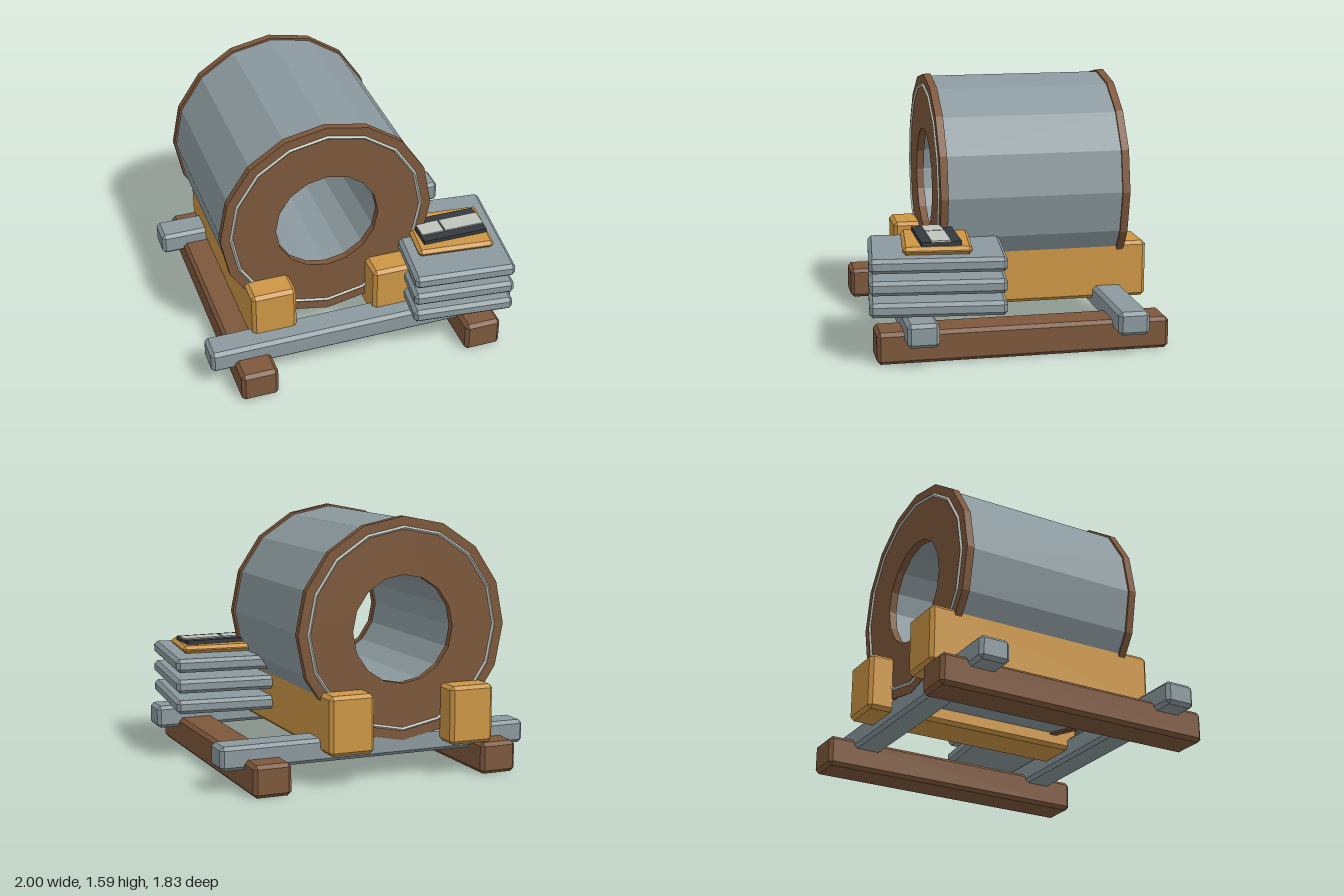
import * as THREE from 'three';
import { ConvexGeometry } from 'three/addons/geometries/ConvexGeometry.js';

const material = (name, color) => {
  const m = new THREE.MeshStandardMaterial({ color });
  m.name = name;
  return m;
};

// Box with every edge chamfered by c
function chamferBox(w, h, d, c) {
  const points = [];
  for (const x of [-1, 1]) for (const y of [-1, 1]) for (const z of [-1, 1]) {
    const a = w / 2, b = h / 2, e = d / 2;
    points.push(
      new THREE.Vector3(x * a, y * (b - c), z * (e - c)),
      new THREE.Vector3(x * (a - c), y * b, z * (e - c)),
      new THREE.Vector3(x * (a - c), y * (b - c), z * e));
  }
  return new ConvexGeometry(points);
}

// Sixteen-sided tube along z
function facetedTube(outer, inner, depth) {
  const ring = r => Array.from({ length: 16 }, (_, i) => {
    const a = i * Math.PI / 8;
    return new THREE.Vector2(r * Math.cos(a), r * Math.sin(a));
  });
  const shape = new THREE.Shape(ring(outer));
  shape.holes.push(new THREE.Path(ring(inner)));
  return new THREE.ExtrudeGeometry(shape, { depth, bevelEnabled: false });
}

export function createModel() {
  const brown = material('brown', 0x7c573b);
  const steel = material('steel grey', 0x8b999e);
  const ochre = material('ochre wood', 0xcc9645);
  const pale = material('pale grey', 0xbfc5bc);
  const dark = material('dark slate', 0x33393f);

  const model = new THREE.Group();
  const add = (name, geometry, mat, x, y, z, parent = model) => {
    const mesh = new THREE.Mesh(geometry, mat);
    mesh.name = name;
    mesh.position.set(x, y, z);
    parent.add(mesh);
    return mesh;
  };

  // Skid: runners, cross beams and chocks
  for (const x of [-0.738, 0.738]) add('runner', chamferBox(0.235, 0.195, 1.785, 0.022), brown, x, 0.0975, -0.025);
  for (const z of [0.61, -0.658]) add('crossBeam', chamferBox(2, 0.145, 0.192, 0.022), steel, 0, 0.208, z);
  for (const x of [-0.557, 0.235]) add('chock', chamferBox(0.286, 0.36, 1.5, 0.022), ochre, x, 0.378, -0.157);

  // Coil with end flanges and a thin ring on each face
  const coil = new THREE.Group();
  coil.name = 'coil';
  coil.position.set(-0.16, 0.905, 0);
  model.add(coil);
  add('coilBody', facetedTube(0.667, 0.34, 1.12), steel, 0, 0, -0.725, coil);
  for (const z of [0.38, -0.757]) add('flange', facetedTube(0.68, 0.33, 0.047), brown, 0, 0, z, coil);
  const torus = new THREE.TorusGeometry(0.612, 0.011, 4, 16).toNonIndexed();
  torus.computeVertexNormals();
  for (const z of [0.427, -0.757]) add('faceRing', torus, pale, 0, 0, z, coil);

  // Slightly turned stack of plates with a board on top
  const stack = new THREE.Group();
  stack.name = 'plateStack';
  stack.position.set(0.63, 0, 0.48);
  stack.rotation.y = -0.105;
  model.add(stack);
  for (const y of [0.348, 0.48, 0.612]) add('plate', chamferBox(0.64, 0.087, 0.81, 0.022), steel, 0, y, 0, stack);
  add('board', chamferBox(0.486, 0.048, 0.412, 0.02), ochre, -0.004, 0.681, 0, stack);

  // Marker block with two pale plates
  add('markerBase', new THREE.BoxGeometry(0.42, 0.026, 0.24), dark, 0.63, 0.717, 0.477);
  add('markerPlateLeft', new THREE.BoxGeometry(0.145, 0.008, 0.116), pale, 0.502, 0.734, 0.479);
  add('markerPlateRight', new THREE.BoxGeometry(0.255, 0.008, 0.116), pale, 0.7125, 0.734, 0.479);

  return model;
}
